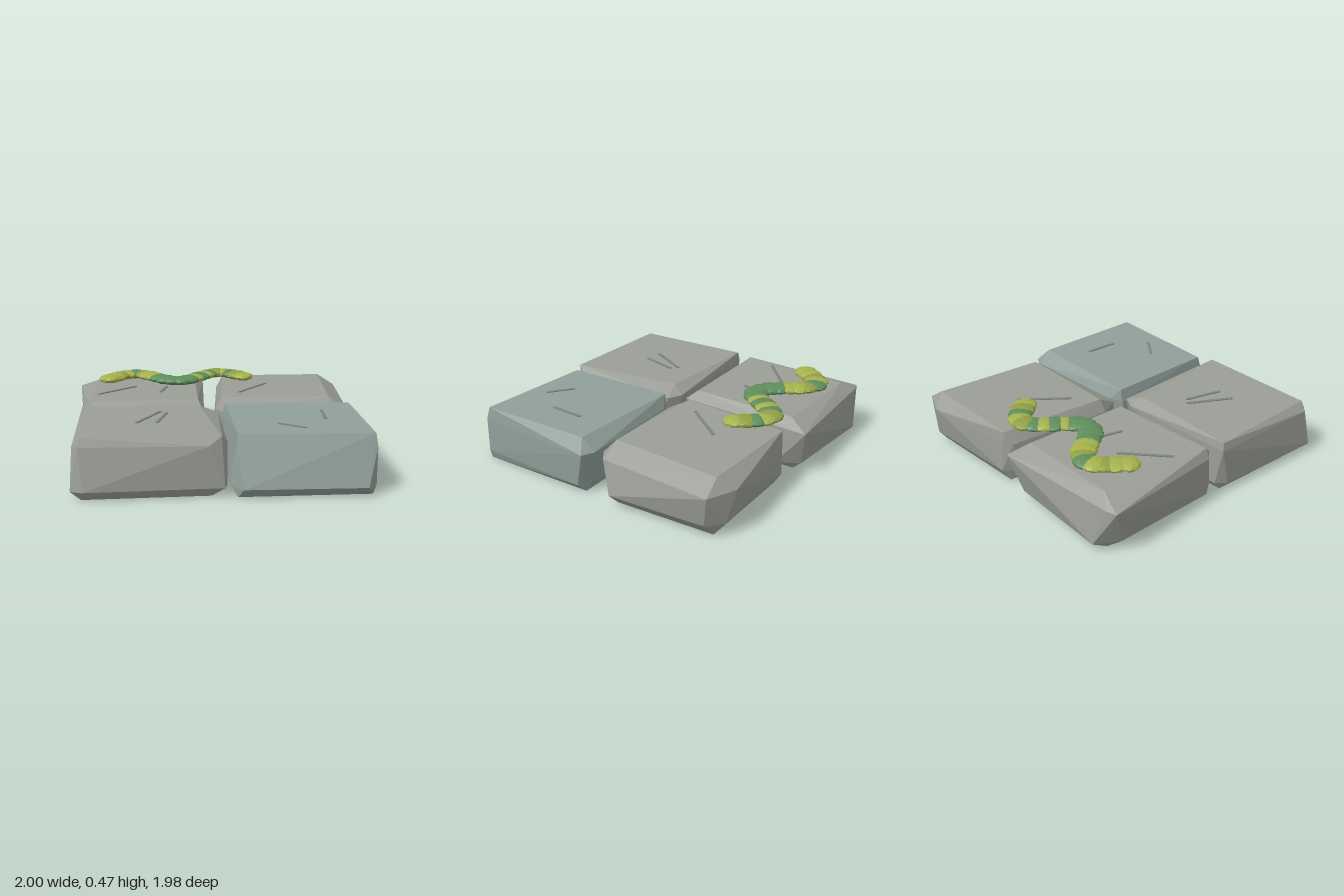
import * as THREE from 'three';
import { ConvexGeometry } from 'three/addons/geometries/ConvexGeometry.js';

const mat = (color) => new THREE.MeshStandardMaterial({ color, flatShading: true });

// Chipped slab: convex hull of horizontal outlines [height, [x, z], ...]
function slab(name, material, ...rings) {
  const points = rings.flatMap(([y, ...ring]) => ring.map(([x, z]) => new THREE.Vector3(x, y, z)));
  const mesh = new THREE.Mesh(new ConvexGeometry(points), material);
  mesh.name = name;
  return mesh;
}

// Thin scratch lying on a slab between two points
function scratch(material, x1, z1, x2, z2) {
  const dx = x2 - x1, dz = z2 - z1;
  const mesh = new THREE.Mesh(new THREE.BoxGeometry(Math.hypot(dx, dz), 0.008, 0.02), material);
  mesh.position.set((x1 + x2) / 2, 0.387, (z1 + z2) / 2);
  mesh.rotation.y = -Math.atan2(dz, dx);
  mesh.name = 'scratch';
  return mesh;
}

export function createModel() {
  const group = new THREE.Group();
  const stone = mat(0x9b9e96), coolStone = mat(0x909f9a), groove = mat(0x80847e);

  // Four paving slabs: top, upper break, lower break, underside
  group.add(
    slab('frontRightSlab', stone,
      [0.385, [-0.93, 0.06], [-0.13, 0.1], [-0.04, 0.9], [-0.9, 0.88]],
      [0.33, [-0.94, 0.05], [-0.1, 0.02], [0.0, 0.07], [0.0, 0.84], [-0.12, 0.925], [-0.91, 0.9], [-0.95, 0.86]],
      [0.06, [-0.93, 0.12], [-0.88, 0.05], [-0.08, 0.06], [0.02, 0.14], [0.0, 0.85], [-0.02, 0.92], [-0.89, 0.95], [-0.965, 0.92]],
      [0, [-0.88, 0.1], [-0.1, 0.1], [-0.1, 0.88], [-0.9, 0.9]]),
    slab('frontLeftSlab', coolStone,
      [0.385, [0.05, 0.06], [0.91, 0.09], [0.91, 0.9], [0.06, 0.85]],
      [0.3, [0.03, 0.06], [0.12, 0.02], [0.9, 0.0], [0.985, 0.04], [0.92, 0.92], [0.06, 0.88]],
      [0.06, [0.02, 0.09], [0.09, 0.05], [0.88, 0.05], [0.96, 0.1], [0.92, 0.92], [0.86, 0.985], [0.09, 0.97], [0.015, 0.86]],
      [0, [0.06, 0.1], [0.9, 0.08], [0.9, 0.92], [0.06, 0.92]]),
    slab('backRightSlab', stone,
      [0.385, [-0.83, -0.86], [-0.11, -0.85], [-0.13, -0.1], [-0.9, -0.07]],
      [0.32, [-1, -0.91], [-0.93, -0.93], [-0.04, -0.99], [-0.05, -0.85], [-0.09, -0.04], [-0.1, -0.02], [-0.86, 0.0], [-0.93, -0.07]],
      [0.06, [-0.94, -0.82], [-0.85, -0.97], [-0.12, -0.93], [-0.04, -0.78], [-0.1, -0.06], [-0.85, 0.03], [-0.93, -0.08]],
      [0, [-0.86, -0.86], [-0.14, -0.86], [-0.14, -0.12], [-0.86, -0.08]]),
    slab('backLeftSlab', stone,
      [0.385, [0.11, -0.9], [0.87, -0.89], [0.81, -0.11], [0.04, -0.14]],
      [0.3, [0.06, -0.87], [0.12, -0.91], [0.8, -0.985], [1, -0.9], [0.94, -0.1], [0.86, -0.04], [0.07, 0.01], [0.0, -0.13]],
      [0.09, [0.04, -0.8], [0.13, -0.92], [0.86, -0.95], [0.96, -0.86], [0.995, -0.18], [0.84, -0.05], [0.08, 0.02], [0.01, -0.12]],
      [0, [0.12, -0.86], [0.88, -0.88], [0.9, -0.18], [0.12, -0.1]]));

  // Scratches
  for (const ends of [
    [-0.84, -0.29, -0.57, -0.53], [-0.39, -0.32, -0.34, -0.51], [0.18, -0.28, 0.41, -0.57],
    [-0.56, 0.55, -0.4, 0.26], [-0.43, 0.56, -0.36, 0.3],
    [0.34, 0.63, 0.5, 0.75], [0.665, 0.54, 0.68, 0.3],
  ]) group.add(scratch(groove, ...ends));

  // Winding strand of flattened moss clumps along a wave
  const moss = new THREE.Group();
  moss.name = 'mossStrand';
  const lime = mat(0xa5b14d), olive = mat(0x919f45), green = mat(0x5f8d5c);
  const wave = new THREE.CatmullRomCurve3(Array.from({ length: 25 }, (_, i) => {
    const x = -0.762 + i / 24 * 1.005;
    return new THREE.Vector3(x, 0.433, -0.64 - 0.14 * Math.cos(Math.PI * 2 * (x + 0.58) / 0.65));
  }));
  const clumps = 22, greens = [4, 8, 9, 10, 11, 12, 14, 16, 19];
  const clumpGeometry = new THREE.IcosahedronGeometry(1, 1);
  for (let i = 0; i < clumps; i++) {
    const material = greens.includes(i) ? green : i % 3 === 2 ? olive : lime;
    const clump = new THREE.Mesh(clumpGeometry, material);
    clump.position.copy(wave.getPointAt(i / (clumps - 1)));
    clump.scale.set(0.085, 0.032, 0.085).multiplyScalar(1 + 0.04 * Math.sin(i * 2.3));
    clump.rotation.y = i * 1.7;
    clump.name = 'mossClump';
    moss.add(clump);
  }
  group.add(moss);
  return group;
}
